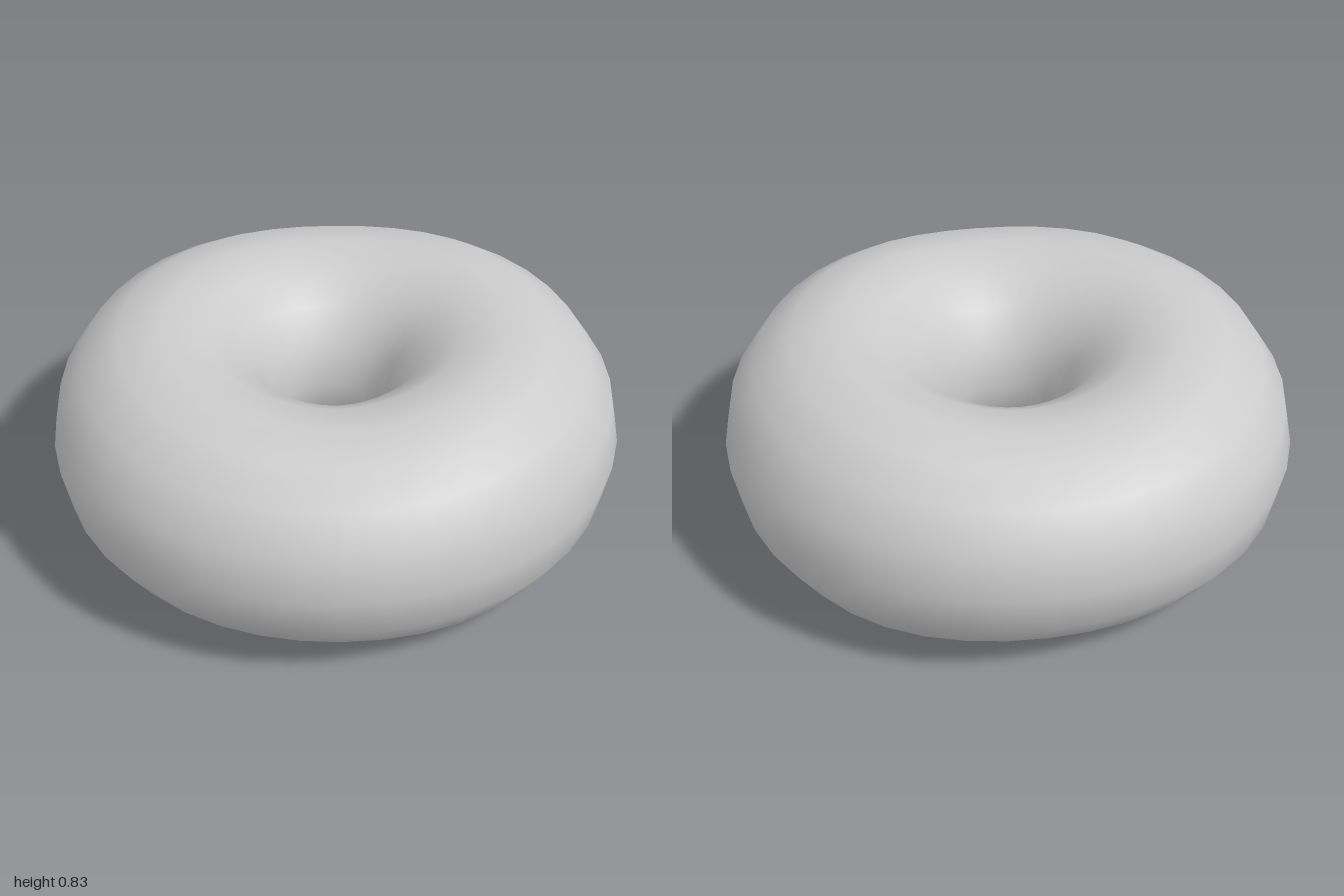
import * as THREE from 'three';

const AROUND = 40, TUBE = 16;

// Ring measurements every 45 degrees, starting at +x and turning towards +z
const knots = {
  top: [0.815, 0.825, 0.79, 0.808, 0.82, 0.805, 0.785, 0.81],
  bottom: [0, 0, 0.028, 0.015, 0, 0.018, 0.032, 0],
  inner: [0.18, 0.19, 0.175, 0.192, 0.21, 0.207, 0.197, 0.21],
  outer: [0.997, 0.988, 0.985, 1.0, 1.0, 1.015, 0.99, 1.003],
};

// Smooth closed interpolation through evenly spaced values
function loopValue(values, t) {
  const n = values.length, i = Math.floor(t * n), f = t * n - i;
  const [a, b, c, d] = [-1, 0, 1, 2].map((k) => values[(i + k + n) % n]);
  return b + 0.5 * f * (c - a + f * (2 * a - 5 * b + 4 * c - d + f * (3 * (b - c) + d - a)));
}

// Closed ring of slightly uneven oval cross-sections
function unevenRing() {
  const positions = [], index = [];
  for (let i = 0; i < AROUND; i++) {
    const t = i / AROUND, angle = t * Math.PI * 2;
    const top = loopValue(knots.top, t), bottom = loopValue(knots.bottom, t);
    const inner = loopValue(knots.inner, t), outer = loopValue(knots.outer, t);
    for (let j = 0; j < TUBE; j++) {
      const v = (j / TUBE) * Math.PI * 2;
      const r = (outer + inner) / 2 + ((outer - inner) / 2) * Math.cos(v);
      const y = (top + bottom) / 2 + ((top - bottom) / 2) * Math.sin(v);
      positions.push(r * Math.cos(angle), y, r * Math.sin(angle));
      const i2 = (i + 1) % AROUND, j2 = (j + 1) % TUBE;
      const a = i * TUBE + j, b = i2 * TUBE + j, c = i2 * TUBE + j2, d = i * TUBE + j2;
      index.push(a, d, b, b, d, c);
    }
  }
  const geometry = new THREE.BufferGeometry();
  geometry.setAttribute('position', new THREE.Float32BufferAttribute(positions, 3));
  geometry.setIndex(index);
  geometry.computeVertexNormals();
  return geometry;
}

export function createModel() {
  const group = new THREE.Group();
  const ring = new THREE.Mesh(unevenRing(), new THREE.MeshStandardMaterial({ color: 0xcccccc }));
  ring.name = 'doughnut';
  group.add(ring);
  return group;
}
